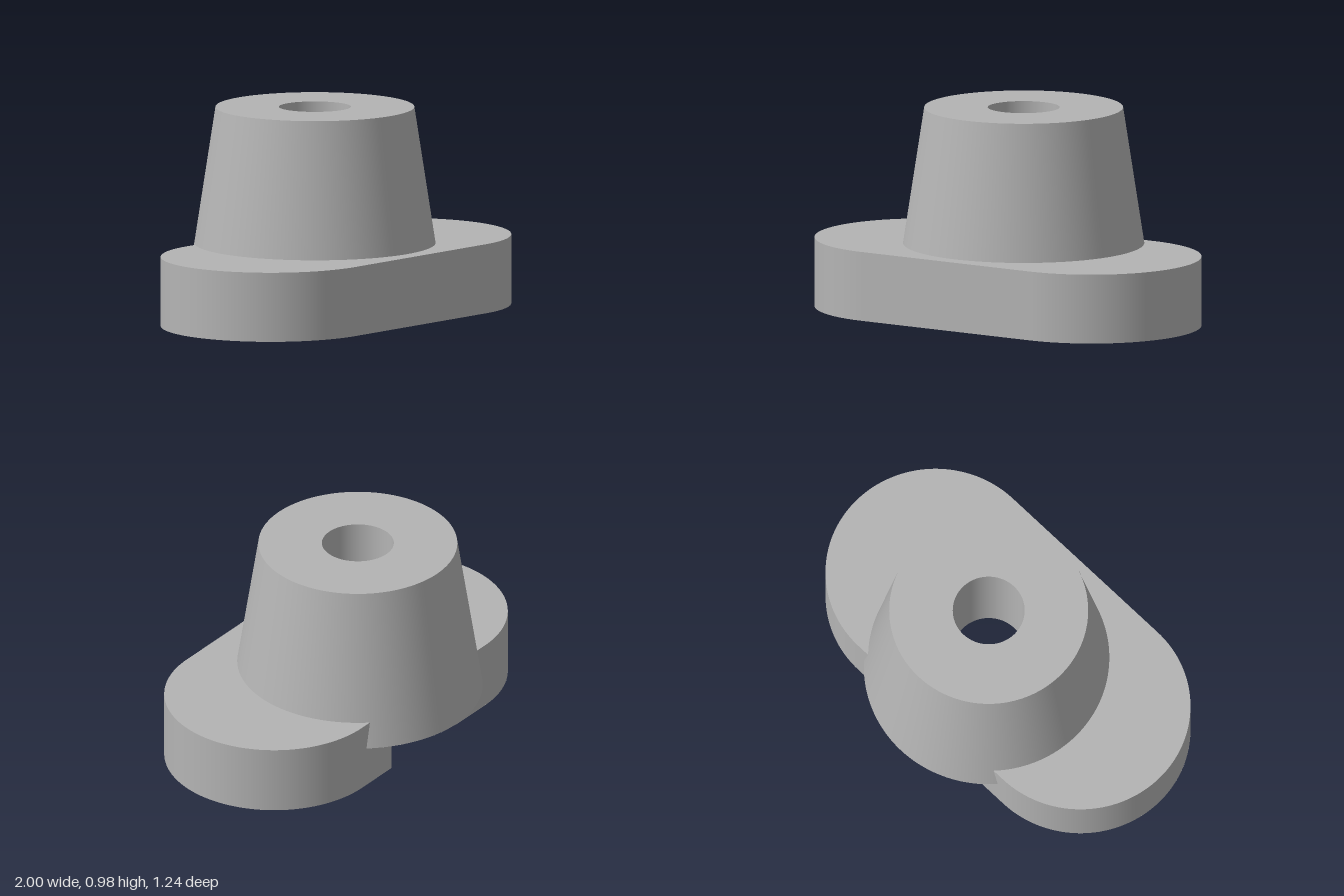
import * as THREE from 'three';

const H = 0.33;            // base height
const CAP = 0.52;          // base end radius
const CX = 0.48;           // base end centre, +/- x
const CZ = 0.1;            // base centre z
const BACK = -0.42;        // z of the base's flat back
const AXIS = -0.03;        // z of the boss axis
const D = AXIS - BACK;     // boss axis to the flat back
const BORE = 0.17, RECESS = 0.463, RIM = 0.115;
const SKIRT = 0.2, TOP = 0.98;
const SEG = 128;

export function createModel() {
  const group = new THREE.Group();
  const grey = new THREE.MeshStandardMaterial({ color: 0xb4b4b4, side: THREE.DoubleSide });
  grey.name = 'grey';

  const add = (name, geometry, x = 0, y = 0, z = 0) => {
    const mesh = new THREE.Mesh(geometry, grey);
    mesh.name = name;
    mesh.position.set(x, y, z);
    group.add(mesh);
    return mesh;
  };
  const turned = (name, points, start = 0, length = Math.PI * 2) => add(name,
    new THREE.LatheGeometry(points.map(p => new THREE.Vector2(...p)), SEG, start, length), 0, 0, AXIS);

  // Flat slot-shaped face with a round bite open to the back (shape y = -z)
  const plate = (name, r, y) => {
    const h = Math.sqrt(r * r - D * D), b = Math.asin(h / r);
    const s = new THREE.Shape();
    s.moveTo(h, -BACK);
    s.lineTo(CX, -BACK);
    s.absarc(CX, -CZ, CAP, Math.PI / 2, -Math.PI / 2, true);
    s.lineTo(-CX, -CZ - CAP);
    s.absarc(-CX, -CZ, CAP, -Math.PI / 2, -Math.PI * 1.5, true);
    s.lineTo(-h, -BACK);
    s.absarc(0, -AXIS, r, Math.PI / 2 + b, Math.PI * 2.5 - b, false);
    add(name, new THREE.ShapeGeometry(s, 64).rotateX(-Math.PI / 2), 0, y, 0);
  };
  plate('baseBottom', RECESS, 0);
  plate('baseTop', 0.57, H);

  // Base side walls
  for (const side of [1, -1]) {
    add('baseEnd', new THREE.CylinderGeometry(CAP, CAP, H, 64, 1, true, side > 0 ? 0 : Math.PI, Math.PI),
      side * CX, H / 2, CZ);
  }
  add('baseFront', new THREE.PlaneGeometry(CX * 2, H), 0, H / 2, CZ + CAP);

  // Back wall, notched where the recess breaks through
  const gap = Math.sqrt(RECESS * RECESS - D * D);
  const wall = new THREE.Shape();
  wall.moveTo(-CX, 0);
  wall.lineTo(-gap, 0);
  for (let i = 0; i <= 32; i++) {
    const x = gap * (i / 16 - 1);
    wall.lineTo(x, RIM + RECESS - Math.hypot(x, D));
  }
  wall.lineTo(gap, 0);
  wall.lineTo(CX, 0);
  wall.lineTo(CX, H);
  wall.lineTo(-CX, H);
  add('baseBack', new THREE.ShapeGeometry(wall).rotateY(Math.PI), 0, 0, BACK);

  // Tapered boss with a straight bore
  turned('bossWall', [[0.59, SKIRT], [0.47, TOP]]);
  turned('bossTop', [[0.47, TOP], [BORE, TOP]]);
  turned('bore', [[BORE, TOP], [BORE, RIM + RECESS - BORE]]);

  // Underside of the boss where it overhangs the back
  const b = Math.acos(D / 0.59);
  const overhang = new THREE.Shape();
  overhang.absarc(0, -AXIS, 0.59, Math.PI / 2 - b, Math.PI / 2 + b, false);
  add('bossOverhang', new THREE.ShapeGeometry(overhang, 64).rotateX(-Math.PI / 2), 0, SKIRT, 0);

  // Recess: short straight rim, then a 45 degree cone trimmed at the back wall
  const open = Math.acos(D / RECESS);
  turned('recessRim', [[RECESS, RIM], [RECESS, 0]], Math.PI + open, Math.PI * 2 - open * 2);
  const cone = turned('recessCone', [[BORE, RIM + RECESS - BORE], [RECESS, RIM]]);
  const p = cone.geometry.attributes.position;
  for (let i = 0; i < p.count; i++) {
    if (p.getZ(i) < -D) {
      const k = -D / p.getZ(i);
      p.setXYZ(i, p.getX(i) * k, RIM + RECESS * (1 - k), -D);
    }
  }
  return group;
}
